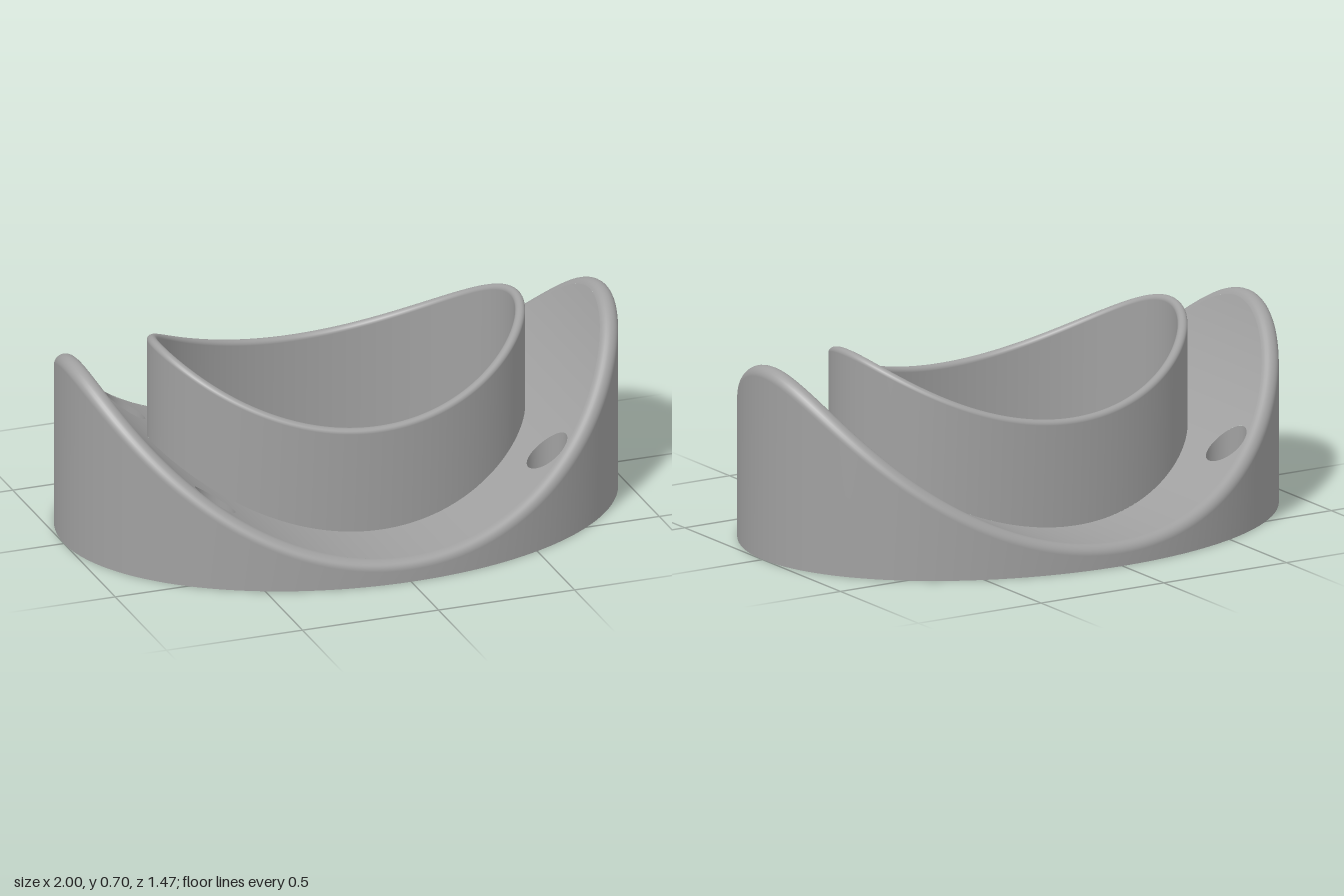
import * as THREE from 'three';
import { mergeGeometries } from 'three/addons/utils/BufferGeometryUtils.js';

const V = (x, y, z) => new THREE.Vector3(x, y, z);
const N = 192;                          // segments around the large ellipses
const OUT = [1, 0.735];                 // outer wall half axes
const COLLAR = [0.675, 0.445], BORE = [0.64, 0.41];
const R = 1.04, YC = 0.08 + R;          // saddle cylinder radius and axis height
const saddleY = x => YC - Math.sqrt(R * R - x * x);
const collarY = x => 0.46 + 1.02 - Math.sqrt(1.02 * 1.02 - x * x);
const SCREWS = [0, 1, 2, 3].map(k => {
  const q = Math.PI / 4 + k * Math.PI / 2;
  return { q, x: 0.61 * Math.sign(Math.cos(q)), z: 0.44 * Math.sign(Math.sin(q)) };
});
const PINS = [[0.82, 0], [-0.82, 0], [0, 0.6], [0, -0.6]];
const SINK = 0.07, SHANK = 0.037, MOUTH = 0.055, PIN = 0.033;

const ellipse = ([a, b], t, y = 0) => V(a * Math.cos(t), y, b * Math.sin(t));
const outward = ([a, b], t) => V(b * Math.cos(t), 0, a * Math.sin(t)).normalize();

// Skin a list of point loops (or open rows)
function loft(rings, closed = true) {
  const n = rings[0].length, index = [];
  for (let i = 0; i < rings.length - 1; i++)
    for (let j = 0; j < (closed ? n : n - 1); j++) {
      const a = i * n + j, b = i * n + (j + 1) % n, c = a + n, d = b + n;
      index.push(a, c, b, b, c, d);
    }
  const g = new THREE.BufferGeometry().setFromPoints(rings.flat());
  g.setIndex(index);
  g.computeVertexNormals();
  return g;
}
const loop = (fn, n = N) => Array.from({ length: n }, (_, i) => fn(i / n * Math.PI * 2));
const circle = (x, z, r, y) => loop(t => V(x + r * Math.cos(t), 0, z + r * Math.sin(t)), 48)
  .map(p => p.setY(typeof y === 'function' ? y(p.x) : y));

// Rounded rim: ball touching both the wall (k = 0) and the saddle (k = 1)
function rim(t, k, r = 0.035) {
  const n = outward(OUT, t), c = ellipse(OUT, t).addScaledVector(n, -r);
  c.y = YC - Math.sqrt((R + r) ** 2 - c.x * c.x);
  const m = V(-c.x, YC - c.y, 0).normalize(), ang = n.angleTo(m);
  return c.addScaledVector(n, r * Math.sin((1 - k) * ang) / Math.sin(ang))
    .addScaledVector(m, r * Math.sin(k * ang) / Math.sin(ang));
}

// Point on the saddle between collar (s = 0) and rim (s = 1)
function saddle(t, s) {
  const p = ellipse(COLLAR, t).lerp(rim(t, 1), s);
  return p.setY(saddleY(p.x));
}

function saddleGeometry() {
  const parts = [], w = 0.2, M = 24, S = 12;
  for (const { q, x, z } of SCREWS) {
    // plain sector up to the next hole
    const t0 = q + w, t1 = q + Math.PI / 2 - w;
    parts.push(loft(Array.from({ length: S + 1 }, (_, i) =>
      Array.from({ length: 49 }, (_, j) => saddle(t0 + (t1 - t0) * j / 48, 1 - i / S))), false));
    // patch blending from its border to the round hole
    const border = [];
    for (let j = 0; j < M; j++) border.push(saddle(q - w + 2 * w * j / M, 1));
    for (let j = 0; j < S; j++) border.push(saddle(q + w, 1 - j / S));
    for (let j = 0; j < M; j++) border.push(saddle(q + w - 2 * w * j / M, 0));
    for (let j = 0; j < S; j++) border.push(saddle(q - w, j / S));
    const hole = border.map(p => {
      const d = V(p.x - x, 0, p.z - z).setLength(SINK);
      return V(x + d.x, 0, z + d.z);
    });
    parts.push(loft(Array.from({ length: 9 }, (_, i) => border.map((p, j) => {
      const v = p.clone().lerp(hole[j], i / 8);
      return v.setY(saddleY(v.x));
    }))));
  }
  const g = mergeGeometries(parts), pos = g.attributes.position;
  for (let i = 0; i < pos.count; i++) {
    const n = V(-pos.getX(i), YC - pos.getY(i), 0).normalize();
    g.attributes.normal.setXYZ(i, n.x, n.y, n.z);
  }
  return g;
}

// Flat underside with bore, screw and pin openings
function baseGeometry() {
  const shape = new THREE.Shape().absellipse(0, 0, ...OUT, 0, Math.PI * 2);
  const cut = (x, z, a, b) =>
    shape.holes.push(new THREE.Path().absellipse(x, z, a, b, 0, Math.PI * 2, true));
  cut(0, 0, ...BORE);
  SCREWS.forEach(h => cut(h.x, h.z, MOUTH, MOUTH));
  PINS.forEach(([x, z]) => cut(x, z, PIN, PIN));
  return new THREE.ShapeGeometry(shape, 96).rotateX(Math.PI / 2);
}

export function createModel() {
  const model = new THREE.Group();
  const grey = new THREE.MeshStandardMaterial({ color: 0xa0a0a0 });
  grey.name = 'grey';
  const add = (name, geometry) => {
    const mesh = new THREE.Mesh(geometry, grey);
    mesh.name = name;
    model.add(mesh);
  };

  // Outer wall with rounded rim
  const wall = [loop(t => ellipse(OUT, t))];
  for (let k = 0; k <= 10; k++) wall.push(loop(t => rim(t, k / 10)));
  add('outerWall', loft(wall));
  add('saddleSurface', saddleGeometry());
  add('base', baseGeometry());

  // Collar with rounded lip and through bore
  const mid = COLLAR.map((c, i) => (c + BORE[i]) / 2), r = (COLLAR[0] - BORE[0]) / 2;
  const collar = [loop(t => { const p = ellipse(COLLAR, t); return p.setY(saddleY(p.x)); })];
  for (let k = 0; k <= 10; k++) collar.push(loop(t => {
    const a = k / 10 * Math.PI, c = ellipse(mid, t);
    c.y = collarY(c.x) - r + r * Math.sin(a);
    return c.addScaledVector(outward(mid, t), r * Math.cos(a));
  }));
  collar.push(loop(t => ellipse(BORE, t)));
  add('collar', loft(collar));

  // Counterbored screw holes, chamfered below
  const floor = 0.12, cham = 0.02;
  for (const { x, z } of SCREWS) {
    const c = (rad, y) => circle(x, z, rad, y);
    add('screwHole', mergeGeometries([
      loft([c(SINK, saddleY), c(SINK, floor)]),
      loft([c(SINK, floor), c(SHANK, floor)]),
      loft([c(SHANK, floor), c(SHANK, cham)]),
      loft([c(SHANK, cham), c(MOUTH, 0)]),
    ]));
  }

  // Blind pin holes in the underside
  for (const [x, z] of PINS) {
    const depth = 0.05;
    add('pinHole', mergeGeometries([
      loft([circle(x, z, 0, depth), circle(x, z, PIN, depth)]),
      loft([circle(x, z, PIN, depth), circle(x, z, PIN, 0)]),
    ]));
  }
  return model;
}
